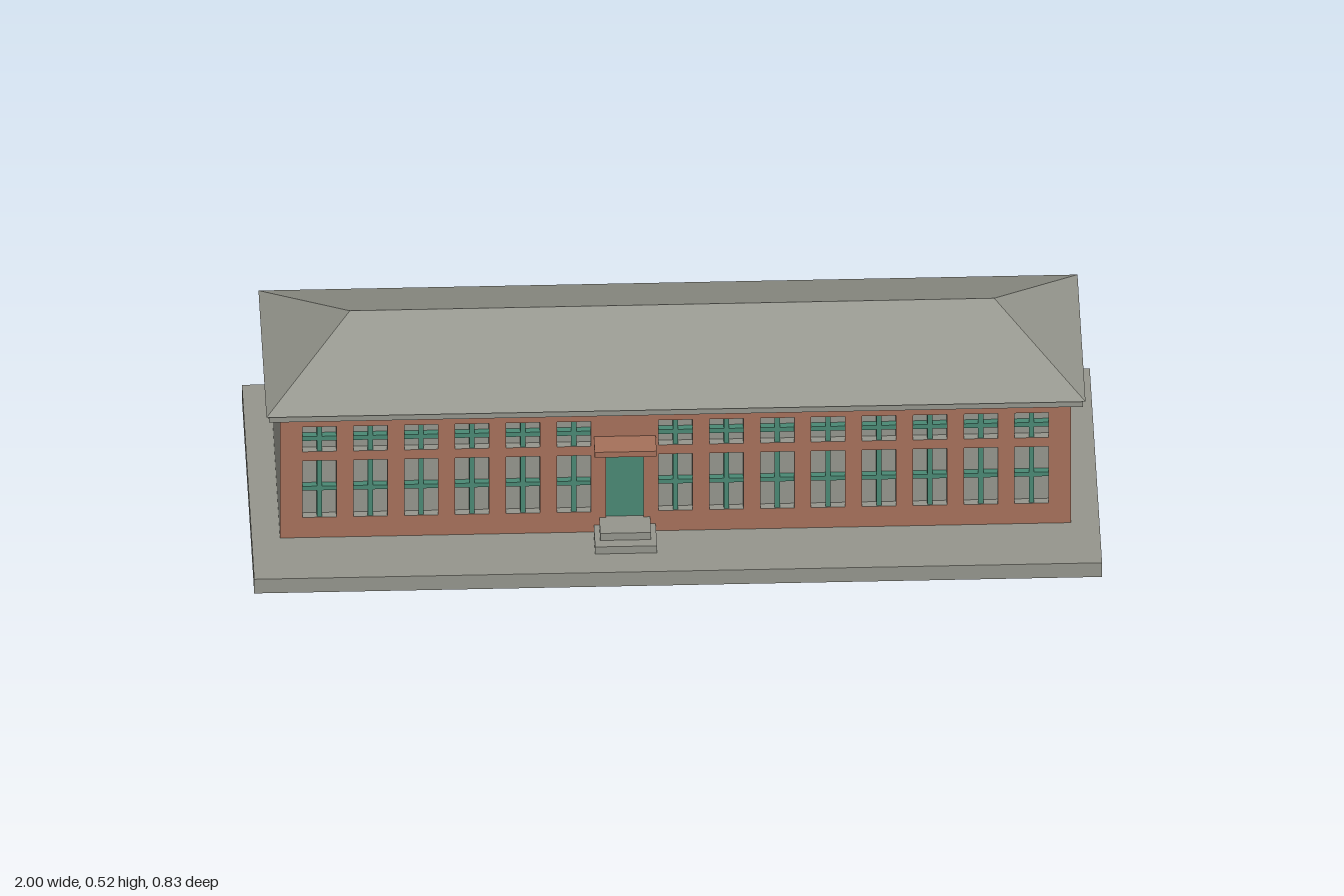
import * as THREE from 'three';

const grey = new THREE.MeshStandardMaterial({ color: 0x94958c });
grey.name = 'stone grey';
const brick = new THREE.MeshStandardMaterial({ color: 0xa5705a });
brick.name = 'brick red';
const teal = new THREE.MeshStandardMaterial({ color: 0x4a8873 });
teal.name = 'teal paint';

const BAYS = 15, PITCH = 0.12, DOOR_BAY = 6;
const HALF_X = 0.933, HALF_Z = 0.24, RECESS = 0.02;
const FLOOR = 0.04, WALL_TOP = 0.385;
const WINDOW_W = 0.08;
const ROWS = [[0.097, 0.257], [0.283, 0.353]]; // bottom and top of each window row
const DOOR = { w: 0.088, y0: 0.08, y1: 0.29 };
const bayX = (i) => (i - (BAYS - 1) / 2) * PITCH;

// Box given by its limits on each axis
function box(parent, name, material, [x0, x1], [y0, y1], [z0, z1]) {
  const mesh = new THREE.Mesh(new THREE.BoxGeometry(x1 - x0, y1 - y0, z1 - z0), material);
  mesh.position.set((x0 + x1) / 2, (y0 + y1) / 2, (z0 + z1) / 2);
  mesh.name = name;
  parent.add(mesh);
  return mesh;
}

function rectPath(PathType, x0, x1, y0, y1) {
  return new PathType([[x0, y0], [x1, y0], [x1, y1], [x0, y1]].map((p) => new THREE.Vector2(...p)));
}

// Long facade pierced by window openings, with an optional door opening
function facade(name, faceMaterial, hasDoor) {
  const shape = rectPath(THREE.Shape, -HALF_X, HALF_X, FLOOR, WALL_TOP);
  for (let i = 0; i < BAYS; i++) {
    const x = bayX(i);
    if (hasDoor && i === DOOR_BAY) {
      shape.holes.push(rectPath(THREE.Path, x - DOOR.w / 2, x + DOOR.w / 2, DOOR.y0, DOOR.y1));
      continue;
    }
    for (const [y0, y1] of ROWS) {
      shape.holes.push(rectPath(THREE.Path, x - WINDOW_W / 2, x + WINDOW_W / 2, y0, y1));
    }
  }
  const geometry = new THREE.ExtrudeGeometry(shape, { depth: RECESS, bevelEnabled: false });
  const mesh = new THREE.Mesh(geometry, [faceMaterial, grey]);
  mesh.name = name;
  return mesh;
}

// Hipped roof from an eave rectangle to a ridge line
function hipRoof(ex, ez, rx, y0, y1) {
  const a = [-ex, y0, ez], b = [ex, y0, ez], c = [ex, y0, -ez], d = [-ex, y0, -ez];
  const l = [-rx, y1, 0], r = [rx, y1, 0];
  const faces = [a, b, r, a, r, l, c, d, l, c, l, r, b, c, r, d, a, l, a, d, c, a, c, b];
  const geometry = new THREE.BufferGeometry();
  geometry.setAttribute('position', new THREE.Float32BufferAttribute(faces.flat(), 3));
  geometry.computeVertexNormals();
  const mesh = new THREE.Mesh(geometry, grey);
  mesh.name = 'hippedRoof';
  return mesh;
}

export function createModel() {
  const model = new THREE.Group();
  model.name = 'longBrickBuilding';

  // Ground slab and solid core behind the two facades
  box(model, 'baseSlab', grey, [-1, 1], [0, FLOOR], [-0.413, 0.413]);
  const core = HALF_Z - RECESS;
  box(model, 'buildingCore', grey, [-HALF_X, HALF_X], [FLOOR, WALL_TOP], [-core, core]);

  const front = facade('frontWall', brick, true);
  front.position.z = core;
  const back = facade('backWall', grey, false);
  back.rotation.y = Math.PI;
  back.position.z = -core;
  model.add(front, back);

  // Glazing bars in the front windows
  const bars = new THREE.Group();
  bars.name = 'frontWindowBars';
  model.add(bars);
  const t = 0.006, depth = [core, HALF_Z - 0.003];
  for (let i = 0; i < BAYS; i++) {
    if (i === DOOR_BAY) continue;
    const x = bayX(i);
    for (const [y0, y1] of ROWS) {
      const mid = (y0 + y1) / 2;
      box(bars, 'uprightBar', teal, [x - t, x + t], [y0, y1], depth);
      box(bars, 'crossBar', teal, [x - WINDOW_W / 2, x + WINDOW_W / 2], [mid - t, mid + t], depth);
    }
  }

  // Entrance: door, canopy and two steps
  const dx = bayX(DOOR_BAY);
  const span = (half) => [dx - half, dx + half];
  box(model, 'door', teal, span(DOOR.w / 2), [DOOR.y0, DOOR.y1], [core, HALF_Z - 0.006]);
  box(model, 'canopy', brick, span(0.073), [0.295, 0.31], [HALF_Z, 0.307]);
  box(model, 'lowerStep', grey, span(0.073), [FLOOR, 0.06], [HALF_Z, 0.334]);
  box(model, 'upperStep', grey, span(0.06), [0.06, 0.08], [HALF_Z, 0.307]);

  // Cornice and roof
  box(model, 'cornice', grey, [-0.96, 0.96], [WALL_TOP, 0.402], [-0.266, 0.266]);
  model.add(hipRoof(0.966, 0.27, 0.76, 0.402, 0.52));

  return model;
}
